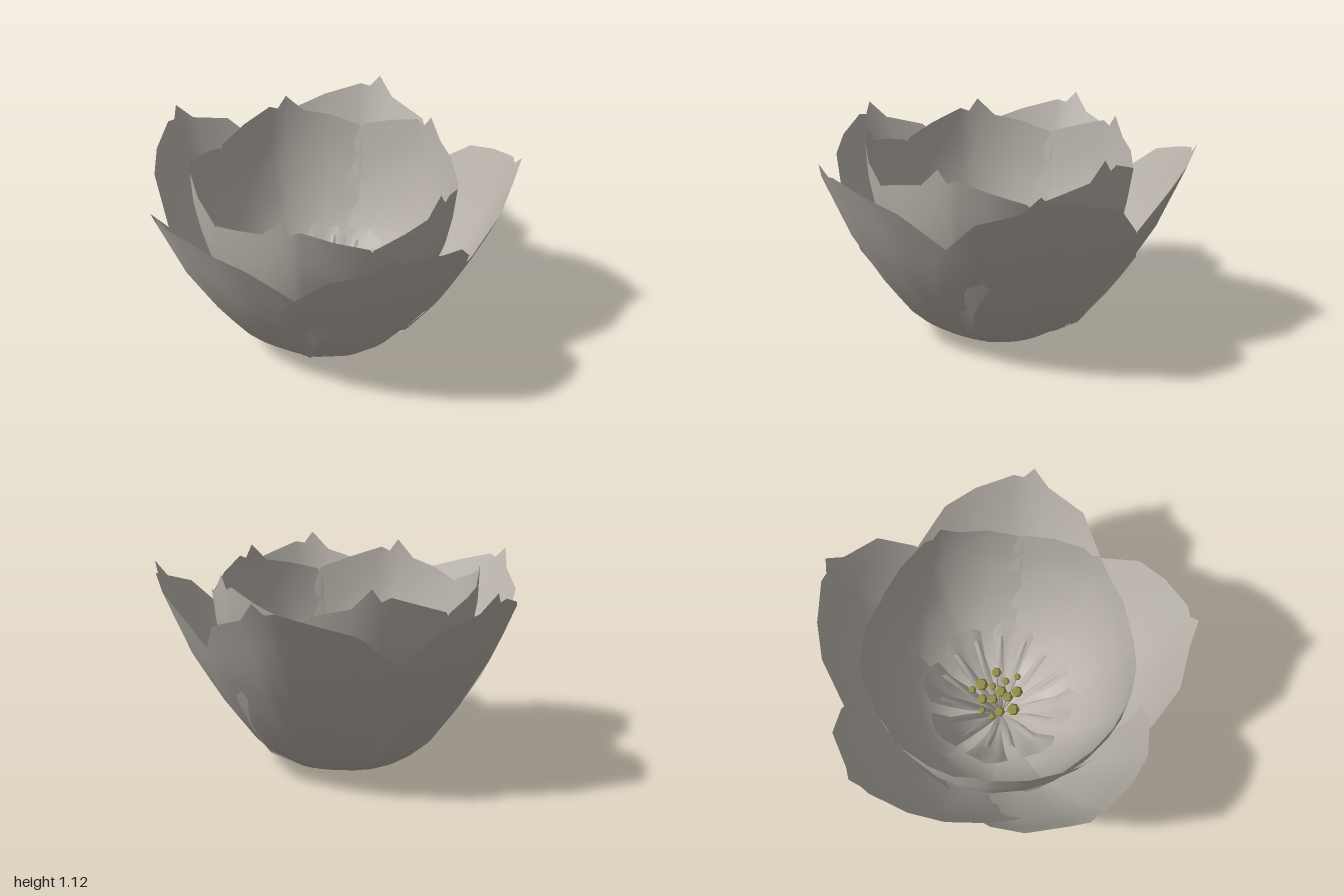
import * as THREE from 'three';

const rad = THREE.MathUtils.degToRad;

// piecewise-linear lookup in [[x, y], ...]
function lerpTable(table, x) {
  for (let i = 1; i < table.length; i++) {
    const [x0, y0] = table[i - 1], [x1, y1] = table[i];
    if (x <= x1) return y0 + (y1 - y0) * Math.max(0, (x - x0) / (x1 - x0));
  }
  return table[table.length - 1][1];
}

// Cupped petal facing +z. profile: [height, radius] up its middle,
// spread: [height, share of full width], rim: [angle, top height].
// flatten pulls the flanks in, flare pushes the outermost edges out.
function petalGeometry({ profile, spread, rim, rows, flatten = 0, flare = 0, tilt = 0, pleat = 0 }) {
  const pos = [], index = [], cols = rim.length;
  const base = profile[0][0];
  for (let i = 0; i <= rows; i++) {
    rim.forEach(([angle, top], j) => {
      const y = base + (top - base) * Math.pow(i / rows, 1.9);
      const s = angle / 60;
      const fold = pleat * (j % 2) * i / rows;
      const r = lerpTable(profile, y) * (1 - flatten * s ** 2 + flare * s ** 4 - tilt * s - fold);
      const a = rad(angle * lerpTable(spread, y));
      pos.push(r * Math.sin(a), y, r * Math.cos(a));
      if (i < rows && j < cols - 1) {
        const k = i * cols + j;
        index.push(k, k + 1, k + cols, k + 1, k + cols + 1, k + cols);
      }
    });
  }
  const g = new THREE.BufferGeometry();
  g.setAttribute('position', new THREE.Float32BufferAttribute(pos, 3));
  g.setIndex(index);
  g.computeVertexNormals();
  return g;
}

export function createModel() {
  const flower = new THREE.Group();
  flower.name = 'flower';
  const petalGrey = new THREE.MeshStandardMaterial({ color: 0xb8b2aa, side: THREE.DoubleSide });
  petalGrey.name = 'warm grey petal';
  const olive = new THREE.MeshStandardMaterial({ color: 0x949049, flatShading: true });
  olive.name = 'olive anther';

  const bloom = new THREE.Group();
  bloom.name = 'bloom';
  bloom.position.z = -0.06;
  flower.add(bloom);

  function ring(name, geometry, count, start) {
    const group = new THREE.Group();
    group.name = name + 's';
    for (let i = 0; i < count; i++) {
      const m = new THREE.Mesh(geometry, petalGrey);
      m.name = name;
      m.rotation.y = rad(start + i * 360 / count);
      group.add(m);
    }
    bloom.add(group);
  }

  const spread = [[0, 0.78], [0.17, 0.78], [0.35, 0.86], [0.53, 1]];

  // outer petals, lopsided with a pointed, notched tip
  ring('outerPetal', petalGeometry({
    profile: [[0, 0.02], [0.006, 0.16], [0.03, 0.32], [0.14, 0.5], [0.36, 0.67],
      [0.65, 0.85], [1.1, 1.05]],
    spread,
    rim: [[-41, 0.52], [-29, 0.75], [-18, 0.93], [-5, 1.0], [0, 1.1],
      [3, 1.04], [6, 1.05], [18, 0.99], [29, 0.93], [44, 0.74], [58, 0.52]],
    rows: 10, flatten: 0.16, flare: 0.2, tilt: 0.015,
  }), 5, 0);

  // inner petals, more upright and broader at the top
  ring('innerPetal', petalGeometry({
    profile: [[0.02, 0.02], [0.025, 0.14], [0.05, 0.27], [0.16, 0.42], [0.38, 0.57],
      [0.65, 0.67], [0.9, 0.72], [1.12, 0.73]],
    spread,
    rim: [[-50, 0.55], [-43, 0.76], [-34, 0.94], [-20, 0.99], [-8, 1.02], [0, 1.12],
      [4, 1.05], [8, 1.07], [22, 1.01], [36, 0.95], [48, 0.76], [60, 0.55]],
    rows: 10, flatten: 0.07, flare: 0.14,
  }), 5, 36);

  // small pleated petals round the heart
  ring('heartPetal', petalGeometry({
    profile: [[0.04, 0.02], [0.08, 0.14], [0.2, 0.28], [0.44, 0.46]],
    spread: [[0.04, 0.8], [0.4, 1]],
    rim: [[-18, 0.36], [-9, 0.42], [0, 0.4], [9, 0.44], [18, 0.35]],
    rows: 4, pleat: 0.06,
  }), 8, 8);

  // narrow blades between the small petals and the stamens
  ring('blade', petalGeometry({
    profile: [[0.06, 0.03], [0.2, 0.15], [0.42, 0.36]],
    spread: [[0.06, 1], [0.2, 0.5], [0.42, 0.15]],
    rim: [[-14, 0.4], [0, 0.42], [14, 0.4]],
    rows: 4, pleat: 0.1,
  }), 15, 10);

  // stamens: x, z, anther radius
  const stamens = [
    [-0.07, -0.15, 0.037], [0.03, -0.17, 0.03], [-0.14, -0.125, 0.023], [-0.02, -0.115, 0.023],
    [0.055, -0.1, 0.023], [0.12, -0.085, 0.021], [-0.105, -0.07, 0.03], [0.005, -0.055, 0.034],
    [-0.06, -0.025, 0.03], [-0.135, -0.01, 0.021], [0.085, -0.015, 0.034], [0.02, 0, 0.03],
    [-0.05, 0.04, 0.03], [0.02, 0.07, 0.037], [-0.11, 0.065, 0.02],
  ];
  const up = new THREE.Vector3(0, 1, 0);
  const foot = new THREE.Vector3(0, 0.04, -0.06);
  stamens.forEach(([x, z, r], i) => {
    const tip = new THREE.Vector3(x, 0.38 + 0.03 * (i % 3), z);
    const anther = new THREE.Mesh(new THREE.IcosahedronGeometry(r, 0), olive);
    anther.name = 'anther';
    anther.position.copy(tip);
    const dir = tip.clone().sub(foot);
    const filament = new THREE.Mesh(
      new THREE.CylinderGeometry(0.004, 0.006, dir.length(), 5), petalGrey);
    filament.name = 'filament';
    filament.position.copy(foot).addScaledVector(dir, 0.5);
    filament.quaternion.setFromUnitVectors(up, dir.normalize());
    flower.add(anther, filament);
  });

  return flower;
}
